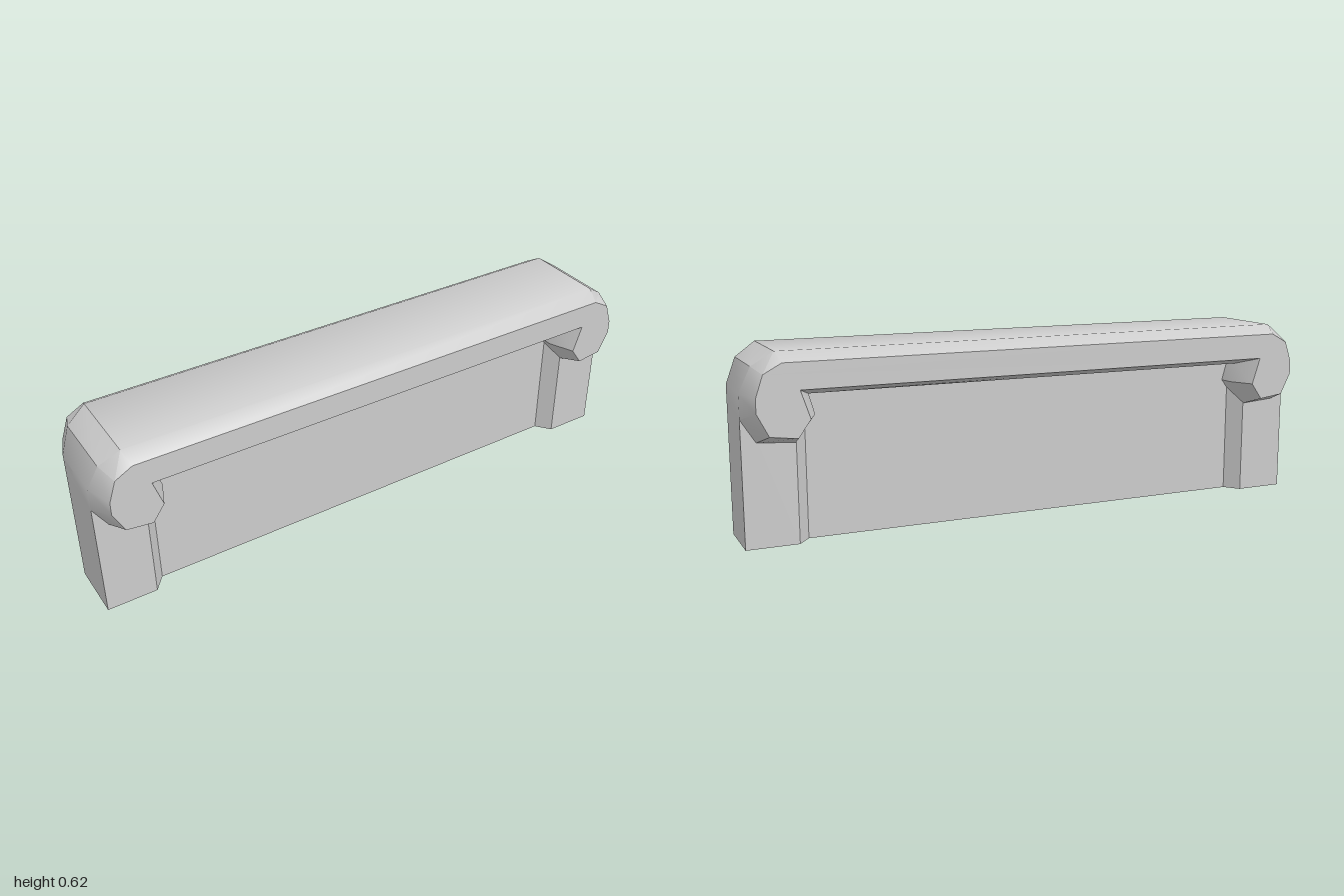
import * as THREE from 'three';
import { toCreasedNormals } from 'three/addons/utils/BufferGeometryUtils.js';

const stone = new THREE.MeshStandardMaterial({ color: 0xcccccc });
stone.name = 'stone grey';

// Wall with thicker chamfered end posts: plan outline extruded upwards.
function wallGeometry() {
  const quarter = [[1, 0.1], [0.83, 0.1], [0.79, 0.05]];
  const flip = (sx, sz) => quarter.map(([x, z]) => new THREE.Vector2(x * sx, z * sz));
  const outline = [
    ...flip(1, 1), ...flip(-1, 1).reverse(),
    ...flip(-1, -1), ...flip(1, -1).reverse(),
  ];
  const geo = new THREE.ExtrudeGeometry(new THREE.Shape(outline), { depth: 0.48, bevelEnabled: false });
  return geo.rotateX(-Math.PI / 2);
}

// Coping with curled ends: each point gives its place on the outer face
// (x, y) and on the wider body (x, y, z); the strip between is the bevel.
function copingGeometry() {
  const faceZ = 0.19;
  const half = [
    [-0.885, 0.588, -0.897, 0.618, 0.14],
    [-0.943, 0.556, -0.965, 0.573, 0.12],
    [-0.967, 0.485, -1.0, 0.49, 0.1],
    [-0.967, 0.44, -1.0, 0.41, 0.1],
    [-0.93, 0.367, -0.953, 0.335, 0.1],
    [-0.843, 0.356, -0.832, 0.326, 0.1],
    [-0.803, 0.412, -0.768, 0.41, 0.1],
    [-0.833, 0.503, -0.787, 0.476, 0.1],
  ];
  const mirrored = half.map(([fx, fy, bx, by, bz]) => [-fx, fy, -bx, by, bz]).reverse();
  const loop = [...half, ...mirrored];

  const pos = [];
  const tri = (a, b, c) => pos.push(...a, ...b, ...c);
  const quad = (a, b, c, d) => { tri(a, b, c); tri(a, c, d); };
  const face = (p, s) => [p[0], p[1], s * faceZ];
  const body = (p, s) => [p[2], p[3], s * p[4]];

  // Bevels and the strip running from front to back.
  loop.forEach((p, i) => {
    const q = loop[(i + 1) % loop.length];
    quad(face(q, 1), face(p, 1), body(p, 1), body(q, 1));
    quad(body(q, 1), body(p, 1), body(p, -1), body(q, -1));
    quad(body(q, -1), body(p, -1), face(p, -1), face(q, -1));
  });

  // Flat front and back faces.
  const flat = loop.map((p) => new THREE.Vector2(p[0], p[1]));
  for (const [a, b, c] of THREE.ShapeUtils.triangulateShape(flat, [])) {
    tri(face(loop[a], 1), face(loop[b], 1), face(loop[c], 1));
    tri(face(loop[c], -1), face(loop[b], -1), face(loop[a], -1));
  }

  const geo = new THREE.BufferGeometry();
  geo.setAttribute('position', new THREE.Float32BufferAttribute(pos, 3));
  return toCreasedNormals(geo, 0.55);
}

export function createModel() {
  const group = new THREE.Group();
  group.name = 'lowWall';
  const add = (name, geo) => {
    const mesh = new THREE.Mesh(geo, stone);
    mesh.name = name;
    group.add(mesh);
  };
  add('wallAndPosts', wallGeometry());
  add('coping', copingGeometry());
  return group;
}
